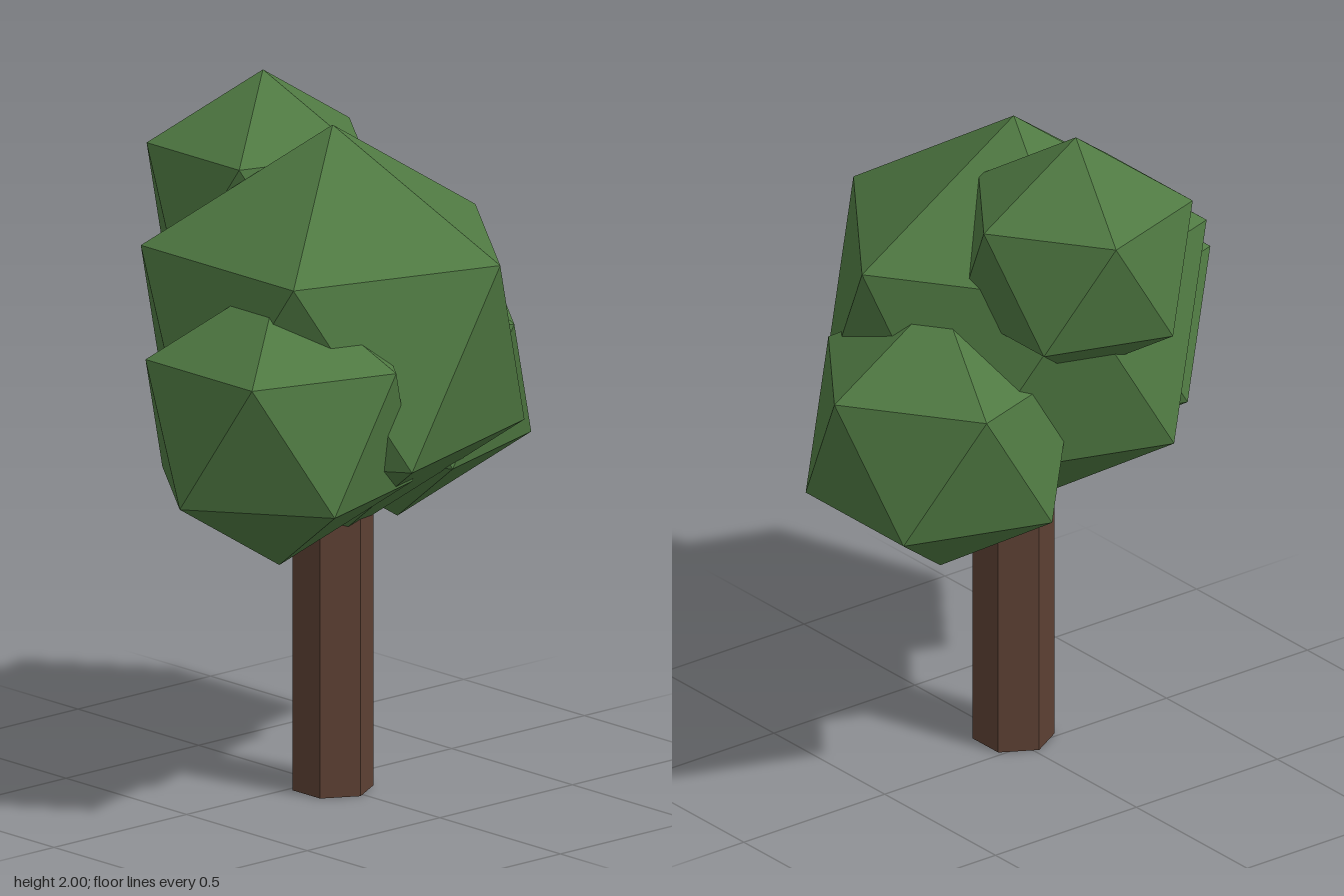
import * as THREE from 'three';
import { ConvexGeometry } from 'three/addons/geometries/ConvexGeometry.js';

// Unit icosahedron standing on one corner: two poles and two staggered rings of five
function leafBallGeometry() {
  const h = 1 / Math.sqrt(5), r = 2 * h;
  const points = [new THREE.Vector3(0, 1, 0), new THREE.Vector3(0, -1, 0)];
  for (let i = 0; i < 5; i++) {
    const a = (i * Math.PI * 2) / 5, b = a + Math.PI / 5;
    points.push(new THREE.Vector3(r * Math.cos(a), h, r * Math.sin(a)));
    points.push(new THREE.Vector3(r * Math.cos(b), -h, r * Math.sin(b)));
  }
  return new ConvexGeometry(points);
}

export function createModel() {
  const tree = new THREE.Group();
  tree.name = 'tree';

  const leafGreen = new THREE.MeshStandardMaterial({ color: 0x4f7942, flatShading: true });
  leafGreen.name = 'leafGreen';
  const barkBrown = new THREE.MeshStandardMaterial({ color: 0x5c4033, flatShading: true });
  barkBrown.name = 'barkBrown';

  // Six-sided trunk, its top hidden inside the crown
  const trunk = new THREE.Mesh(new THREE.CylinderGeometry(0.1155, 0.1155, 1, 6), barkBrown);
  trunk.name = 'trunk';
  trunk.position.set(-0.015, 0.5, 0.073);
  tree.add(trunk);

  // Crown of four overlapping leaf balls: name, radius, centre
  const ball = leafBallGeometry();
  const crown = [
    ['mainFoliage', 0.602, -0.013, 1.32, 0.07],
    ['topFoliage', 0.365, 0.038, 1.635, -0.275],
    ['leftFoliage', 0.42, 0.354, 1.11, -0.065],
    ['rightFoliage', 0.42, -0.355, 1.163, 0.225],
  ];
  for (const [name, radius, x, y, z] of crown) {
    const mesh = new THREE.Mesh(ball, leafGreen);
    mesh.name = name;
    mesh.scale.setScalar(radius);
    mesh.position.set(x, y, z);
    tree.add(mesh);
  }
  return tree;
}
